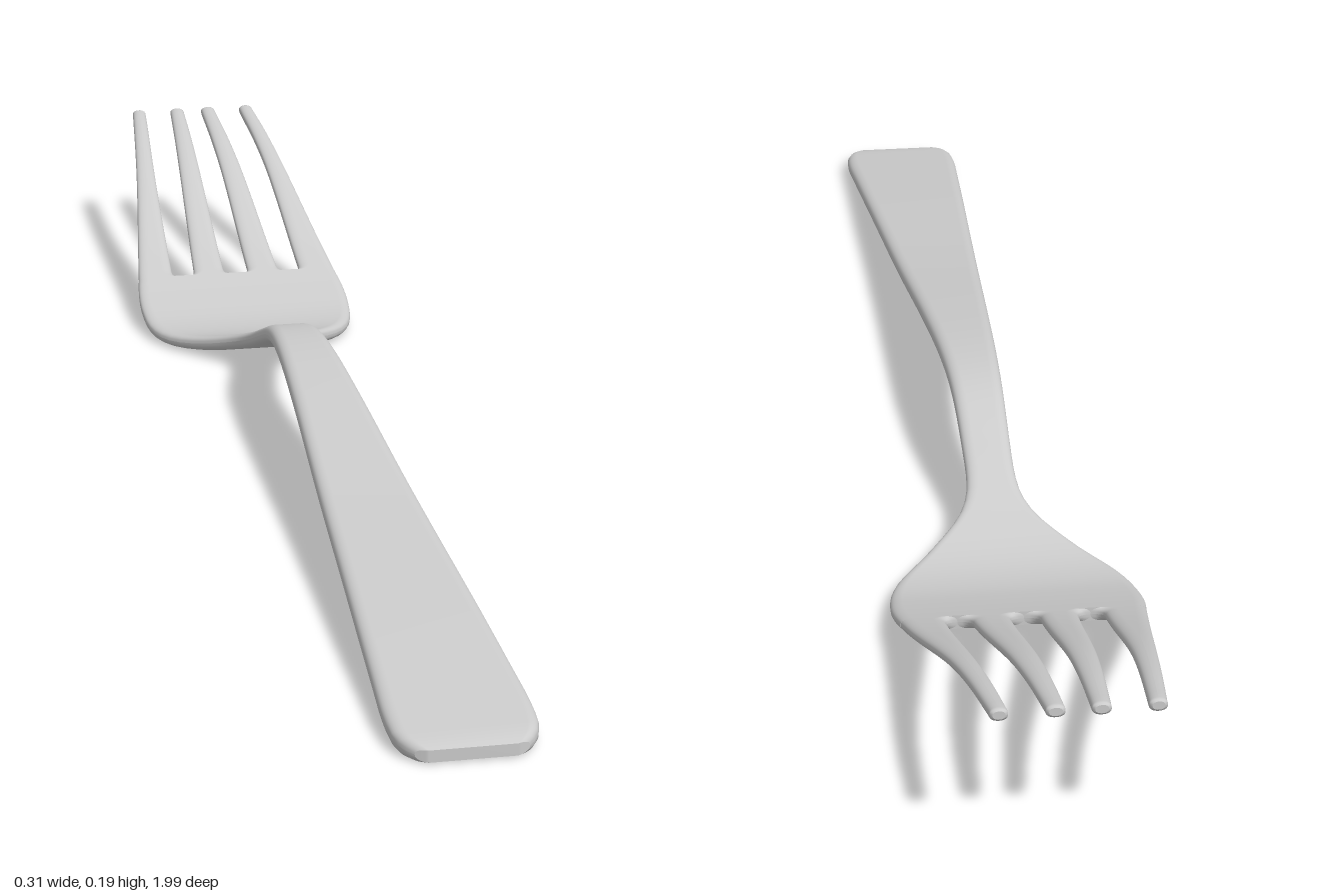
import * as THREE from 'three';

// Smooth interpolation through [z, value] rows sorted by falling z
function profile(rows) {
  const n = rows.length;
  const slope = (i) => {
    const a = rows[Math.max(i - 1, 0)], b = rows[Math.min(i + 1, n - 1)];
    return (b[1] - a[1]) / (b[0] - a[0]);
  };
  return (z) => {
    let i = 0;
    while (i < n - 2 && z < rows[i + 1][0]) i++;
    const [z0, v0] = rows[i], [z1, v1] = rows[i + 1];
    const h = z1 - z0, t = THREE.MathUtils.clamp((z - z0) / h, 0, 1);
    const t2 = t * t, t3 = t2 * t;
    return (2 * t3 - 3 * t2 + 1) * v0 + (t3 - 2 * t2 + t) * h * slope(i)
      + (3 * t2 - 2 * t3) * v1 + (t3 - t2) * h * slope(i + 1);
  };
}

// Side curve of the whole fork and its half thickness
const height = profile([[1, 0.014], [0.7, 0.049], [0.4, 0.081], [0.15, 0.114], [0, 0.127],
  [-0.1, 0.12], [-0.2, 0.085], [-0.3, 0.044], [-0.36, 0.024], [-0.41, 0.018], [-0.47, 0.025],
  [-0.6, 0.064], [-0.8, 0.14], [-0.9, 0.17], [-1, 0.191]]);
const thickness = profile([[1, 0.012], [0.4, 0.0125], [0, 0.013], [-0.25, 0.012], [-0.4, 0.01],
  [-0.6, 0.009], [-1, 0.0085]]);

// Half width of handle, neck and head
const bodyWidth = profile([[1, 0.083], [0.9, 0.083], [0.5, 0.063], [0, 0.037], [-0.2, 0.031],
  [-0.26, 0.034], [-0.3, 0.05], [-0.35, 0.09], [-0.4, 0.13], [-0.44, 0.147], [-0.49, 0.153],
  [-0.53, 0.152], [-0.57, 0.147]]);

// Loft of rounded cross-sections; stations are {z, left, right, scale}
function loft(name, stations, material) {
  const pos = [], index = [], N = 32;
  stations.forEach(({ z, left, right, scale = 1 }) => {
    const mid = (left + right) / 2, half = (right - left) / 2;
    const round = Math.min(half, 0.015);
    const bow = 4 * THREE.MathUtils.smoothstep(z, 0.8, 1);
    for (let i = 0; i < N; i++) {
      const q = Math.floor(i / 8), a = (q + (i % 8) / 7) * Math.PI / 2;
      const side = q === 0 || q === 3 ? 1 : -1;
      const dx = (side * (half - round) + Math.cos(a) * round) * (1 - (1 - scale) * 0.1);
      const s = Math.sin(a);
      const lift = Math.sign(s) * Math.pow(Math.abs(s), 0.75);
      const zz = z - bow * dx * dx;
      pos.push(mid + dx, height(zz) + lift * thickness(zz) * scale, zz);
    }
  });
  const last = stations.length - 1;
  for (let r = 0; r < last; r++) {
    for (let i = 0; i < N; i++) {
      const a = r * N + i, b = r * N + (i + 1) % N;
      index.push(a, a + N, b, b, a + N, b + N);
    }
  }
  // End caps with their own vertices keep a crisp rim
  [0, last].forEach((r) => {
    const base = pos.length / 3;
    pos.push(...pos.slice(r * N * 3, (r + 1) * N * 3));
    for (let i = 0; i < N / 2 - 1; i++) {
      const a = base + i, b = base + i + 1, c = base + N - 2 - i, d = base + N - 1 - i;
      if (r === 0) index.push(a, b, d, b, c, d);
      else index.push(a, d, b, b, d, c);
    }
  });
  const geometry = new THREE.BufferGeometry();
  geometry.setAttribute('position', new THREE.Float32BufferAttribute(pos, 3));
  geometry.setIndex(index);
  geometry.computeVertexNormals();
  const mesh = new THREE.Mesh(geometry, material);
  mesh.name = name;
  return mesh;
}

export function createModel() {
  const group = new THREE.Group();
  group.name = 'fork';
  const material = new THREE.MeshStandardMaterial({ color: 0xcccccc, side: THREE.DoubleSide });

  // Handle, neck and head, with softened handle end
  const body = [[1, 0.066, 0.6], [0.996, 0.072, 0.8], [0.988, 0.078, 0.95], [0.975, 0.082, 1]]
    .map(([z, w, scale]) => ({ z, left: -w, right: w, scale }));
  const root = -0.563;
  for (let i = 0; i <= 90; i++) {
    const z = THREE.MathUtils.lerp(0.95, root, i / 90), w = bodyWidth(z);
    body.push({ z, left: -w, right: w });
  }
  group.add(loft('handleAndHead', body, material));

  // Tine edges, from the slot roots to the tips
  const edges = {
    outerTine: {
      inner: profile([[-0.56, 0.096], [-0.8, 0.088], [-1, 0.075]]), meet: 0.08,
      outer: profile([[-0.56, 0.148], [-0.6, 0.143], [-0.8, 0.117], [-1, 0.095]]),
    },
    innerTine: {
      inner: profile([[-0.56, 0.018], [-0.8, 0.017], [-1, 0.014]]), meet: 0,
      outer: profile([[-0.56, 0.064], [-0.8, 0.049], [-1, 0.035]]), outerMeet: 0.08,
    },
  };
  const steps = [0, 0.001, 0.003, 0.006, 0.01, 0.016];
  for (let i = 1; i <= 26; i++) steps.push(0.016 + (0.415 * i) / 26);
  for (const [name, e] of Object.entries(edges)) {
    for (const side of [1, -1]) {
      const stations = steps.map((d) => {
        const z = root - d, u = Math.min(d / 0.016, 1);
        const open = Math.sqrt(1 - (1 - u) ** 2); // rounded slot root
        const a = THREE.MathUtils.lerp(e.meet, e.inner(z), open);
        const b = e.outerMeet ? THREE.MathUtils.lerp(e.outerMeet, e.outer(z), open) : e.outer(z);
        return { z, left: side > 0 ? a : -b, right: side > 0 ? b : -a };
      });
      // Slightly blunted tip
      const tip = stations[stations.length - 1];
      stations.push({ ...tip, z: -0.998, scale: 0.85 });
      stations.push({ ...tip, z: -1, left: tip.left + 0.003, right: tip.right - 0.003, scale: 0.6 });
      group.add(loft((side > 0 ? 'left ' : 'right ') + name, stations, material));
    }
  }
  return group;
}
